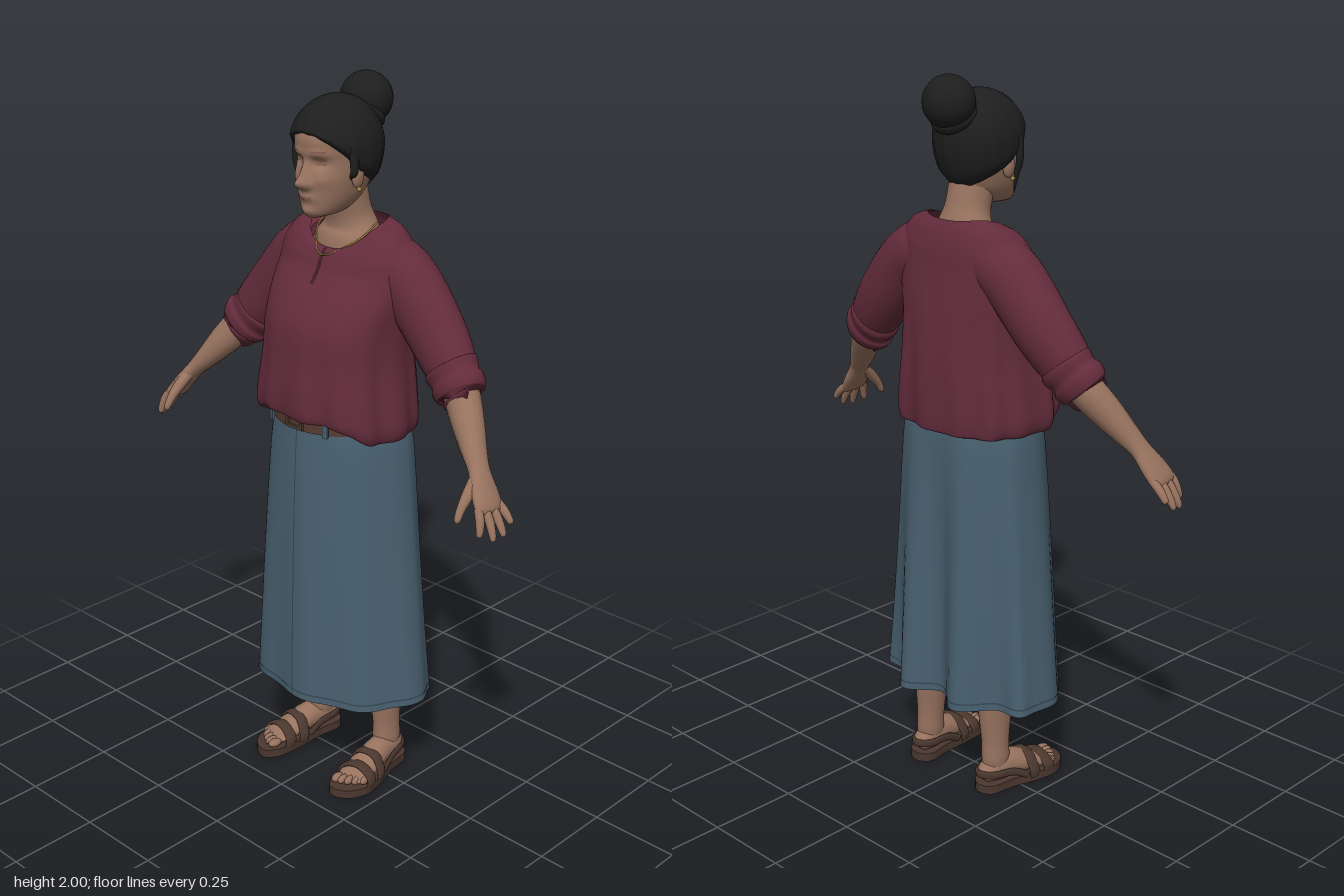
import * as THREE from 'three';

const mat = (name, color, side = THREE.FrontSide) =>
  Object.assign(new THREE.MeshStandardMaterial({ color, side }), { name });
const M = {
  skin: mat('skin', 0x98735f), darkSkin: mat('dark skin', 0x7f5b4c, THREE.DoubleSide),
  hair: mat('hair', 0x1e1e1f, THREE.DoubleSide), blouse: mat('blouse', 0x642c3c, THREE.DoubleSide),
  seam: mat('blouse seam', 0x3f1b26, THREE.DoubleSide), denim: mat('denim', 0x48606f, THREE.DoubleSide),
  darkDenim: mat('dark denim', 0x354856, THREE.DoubleSide), belt: mat('belt leather', 0x553a30, THREE.DoubleSide),
  sandal: mat('sandal leather', 0x4b382f), gold: mat('gold', 0xa98545),
};
const { sin, cos, abs, sign, PI, exp, min, max } = Math;
const smooth = THREE.MathUtils.smoothstep;

function part(parent, name, geometry, material, pos = [0, 0, 0], scale = [1, 1, 1]) {
  const mesh = new THREE.Mesh(geometry, material);
  mesh.name = name;
  mesh.position.set(...pos);
  mesh.scale.set(...scale);
  parent.add(mesh);
  return mesh;
}

// Smooth interpolation through table rows, v from 0 to 1
function key(rows, v) {
  const f = min(max(v, 0), 1) * (rows.length - 1), i = min(Math.floor(f), rows.length - 2), t = f - i;
  const row = k => rows[min(max(k, 0), rows.length - 1)];
  return rows[0].map((_, c) => {
    const [p, q, r, s] = [row(i - 1)[c], row(i)[c], row(i + 1)[c], row(i + 2)[c]];
    return q + 0.5 * t * (r - p + t * (2 * p - 5 * q + 4 * r - s + t * (3 * (q - r) + s - p)));
  });
}

// Skin a rule fn(angle, v) -> [x, y, z]; a full turn is closed without a seam
function surface(fn, nu, nv, a0 = 0, a1 = 2 * PI, v0 = 0, v1 = 1) {
  const closed = a1 - a0 > 6.28, cols = closed ? nu : nu + 1, pos = [], idx = [];
  for (let j = 0; j <= nv; j++)
    for (let i = 0; i < cols; i++) pos.push(...fn(a0 + (a1 - a0) * i / nu, v0 + (v1 - v0) * j / nv));
  for (let j = 0; j < nv; j++)
    for (let i = 0; i < nu; i++) {
      const a = j * cols + i, b = j * cols + (i + 1) % cols;
      idx.push(a, b, b + cols, a, b + cols, a + cols);
    }
  const g = new THREE.BufferGeometry();
  g.setAttribute('position', new THREE.Float32BufferAttribute(pos, 3));
  g.setIndex(idx);
  g.computeVertexNormals();
  return g;
}

// Stacked rings from rows [y, halfWidth, zFront, zBack, tilt, sideLift]
const rings = (rows, p = 1, mid = null) => (a, v) => {
  const [y, hx, zf, zb, tilt = 0, lift = 0] = key(rows, v);
  const s = sin(a), c = cos(a), zm = mid ?? (zf + zb) / 2;
  const q = t => sign(t) * abs(t) ** p;
  return [hx * q(s), y - tilt * c + lift * s * s, zm + (c > 0 ? zf - zm : zm - zb) * q(c)];
};
const offset = (fn, d) => (a, v) => {
  const [x, y, z] = fn(a, v);
  return [x + d * sin(a), y, z + d * cos(a)];
};

// Limb along rows [x, y, z, radiusAcross, radiusAlongRef]
function limb(rows, ref = [0, 0, 1], nu = 16, nv = 24) {
  const at = v => new THREE.Vector3(...key(rows, v).slice(0, 3));
  return surface((a, v) => {
    const r = key(rows, v), t = at(min(1, v + 0.01)).sub(at(max(0, v - 0.01))).normalize();
    const B = new THREE.Vector3(...ref).addScaledVector(t, -t.dot(new THREE.Vector3(...ref))).normalize();
    const N = B.clone().cross(t);
    return at(v).addScaledVector(N, max(r[3], 0.0005) * cos(a))
      .addScaledVector(B, max(r[4], 0.0005) * sin(a)).toArray();
  }, nu, nv);
}
const rope = (pts, r) =>
  new THREE.TubeGeometry(new THREE.CatmullRomCurve3(pts.map(p => new THREE.Vector3(...p))), 30, r, 6);

// Skirt: two deep folds at the back, light waves elsewhere
const skirtBase = rings([[0.28, 0.283, 0.2, -0.17], [0.48, 0.265, 0.196, -0.166], [0.7, 0.245, 0.19, -0.16],
  [0.9, 0.226, 0.183, -0.155], [1.04, 0.21, 0.176, -0.148], [1.115, 0.188, 0.17, -0.135]], 0.95, -0.03);
const skirt = (a, v) => {
  const [x, y, z] = skirtBase(a, v), c = cos(a), k = (1 - v) ** 1.2;
  const wave = 0.007 * k * sin(9 * a + 0.6);
  return [x + wave * sin(a), y, z + wave * c + 0.03 * k * cos(PI * x / 0.1) * max(0, -c)];
};

// Blouse: gathered hem raised at the front, wide neckline
const blouseBase = rings([[1.1, 0.185, 0.17, -0.145, 0, 0], [1.065, 0.212, 0.183, -0.16, 0, 0],
  [1.1, 0.226, 0.193, -0.166, 0, 0], [1.18, 0.217, 0.193, -0.168, 0, 0], [1.27, 0.205, 0.186, -0.166, 0, 0],
  [1.36, 0.205, 0.175, -0.16, 0, 0], [1.43, 0.212, 0.142, -0.152, 0, 0], [1.5, 0.215, 0.092, -0.142, 0, 0],
  [1.545, 0.205, 0.075, -0.136, 0.01, 0.015], [1.58, 0.165, 0.06, -0.124, 0.022, 0.03],
  [1.595, 0.11, 0.05, -0.11, 0.035, 0.032]], 0.83);
const blouse = (a, v) => {
  const [x, y, z] = blouseBase(a, v), c = cos(a), k = smooth(v, 0, 0.1) * (1 - smooth(v, 0.2, 0.65));
  const w = 0.005 * k * (sin(13 * a) + 0.7 * sin(8 * a + 1));
  return [x + w * sin(a), y + 0.075 * smooth(c, 0.35, 0.95) * max(0, 1 - 2.8 * v), z + w * c];
};

// Head: rings with nose, brow, cheeks, lips and eye sockets
const skull = rings([[1.652, 0.012, 0.115, 0.07], [1.665, 0.045, 0.126, 0.0], [1.7, 0.068, 0.132, -0.055],
  [1.75, 0.082, 0.134, -0.08], [1.8, 0.088, 0.13, -0.09], [1.86, 0.09, 0.135, -0.09],
  [1.91, 0.08, 0.105, -0.08], [1.94, 0.02, 0.04, -0.02]], 0.92);
const bump = (x, y, cx, cy, w, h) => exp(-(((x - cx) / w) ** 2) - ((y - cy) / h) ** 2);
const face = (a, v) => {
  const [x, y, z] = skull(a, v), X = abs(x);
  if (cos(a) <= 0) return [x, y, z];
  return [x, y, z + 0.033 * bump(x, y, 0, 1.747, 0.014, 0.017) + 0.018 * bump(x, y, 0, 1.775, 0.011, 0.025)
    + 0.008 * bump(X, y, 0.016, 1.742, 0.009, 0.01) - 0.013 * bump(X, y, 0.036, 1.797, 0.02, 0.014)
    + 0.006 * bump(X, y, 0.035, 1.822, 0.03, 0.01) + 0.006 * bump(X, y, 0.048, 1.755, 0.02, 0.02)
    + 0.007 * bump(x, y, 0, 1.708, 0.025, 0.01) + 0.007 * bump(x, y, 0, 1.672, 0.02, 0.012)];
};

// Hair cap with a swept hairline, reaching down to the nape
const hairCap = (a, v) => {
  const c = cos(a), s = sin(a);
  const edge = c > 0.2 ? 1.77 + 0.098 * ((c - 0.2) / 0.8) ** 0.8 : 1.708 + 0.062 * (c + 1) / 1.2;
  const y = edge + (1.957 - edge) * sin(v * PI / 2);
  let r = y > 1.83 ? Math.sqrt(max(0, 1 - ((y - 1.83) / 0.127) ** 2)) : 1 - 0.3 * ((1.83 - y) / 0.12) ** 2;
  r *= (0.9 + 0.1 * min(1, v / 0.07)) * (1 + 0.01 * sin(16 * a + 5 * v));
  return [0.116 * r * s, y, 0.014 + (c > 0 ? 0.134 : 0.122) * r * c];
};

function buildArm(side) {
  const arm = new THREE.Group();
  arm.name = side > 0 ? 'leftArm' : 'rightArm';
  arm.scale.x = side;
  const sleeve = limb([[0.1, 1.535, -0.045, 0.06, 0.07], [0.14, 1.52, -0.047, 0.083, 0.082], [0.2, 1.48, -0.048, 0.087, 0.08],
    [0.285, 1.385, -0.045, 0.085, 0.074], [0.345, 1.315, -0.035, 0.078, 0.066], [0.385, 1.27, -0.025, 0.066, 0.056]], [0, 0, 1], 28, 30);
  part(arm, 'sleeve', sleeve, M.blouse);
  // Rolled cuff in two soft folds
  part(arm, 'cuff', limb([[0.35, 1.305, -0.034, 0.066, 0.056], [0.36, 1.293, -0.032, 0.08, 0.066], [0.38, 1.272, -0.026, 0.073, 0.06],
    [0.393, 1.258, -0.022, 0.08, 0.064], [0.41, 1.238, -0.016, 0.07, 0.057], [0.405, 1.243, -0.016, 0.045, 0.04]], [0, 0, 1], 28, 30), M.blouse);
  part(arm, 'forearm', limb([[0.36, 1.3, -0.03, 0.045, 0.045], [0.41, 1.24, -0.015, 0.05, 0.046], [0.46, 1.18, 0.015, 0.043, 0.042],
    [0.505, 1.125, 0.042, 0.031, 0.035], [0.535, 1.09, 0.058, 0.023, 0.032], [0.565, 1.05, 0.072, 0.02, 0.043],
    [0.592, 1.012, 0.085, 0.016, 0.046], [0.6, 1.0, 0.088, 0.004, 0.03]]), M.skin);
  const tips = [[0.606, 0.953, 0.138], [0.63, 0.94, 0.11], [0.637, 0.945, 0.077], [0.635, 0.97, 0.046]];
  tips.forEach(([x, y, z], i) => {
    const bx = 0.585, by = 1.02, bz = 0.12 - i * 0.024;
    const row = (t, r) => [bx + (x - bx) * t + 0.006 * sin(t * PI), by + (y - by) * t, bz + (z - bz) * t, r, r];
    part(arm, 'finger', limb([row(0, 0.011), row(0.35, 0.012), row(0.75, 0.01), row(0.95, 0.007), row(1, 0.001)], [0, 0, 1], 10, 12), M.skin);
  });
  part(arm, 'thumb', limb([[0.54, 1.08, 0.075, 0.016, 0.016], [0.548, 1.045, 0.115, 0.016, 0.016], [0.55, 1.015, 0.143, 0.012, 0.012],
    [0.552, 0.99, 0.158, 0.009, 0.009], [0.553, 0.982, 0.162, 0.001, 0.001]], [1, 0, 0], 10, 14), M.skin);
  return arm;
}

function buildLeg(side) {
  const leg = new THREE.Group();
  leg.name = side > 0 ? 'leftLeg' : 'rightLeg';
  leg.scale.x = side;
  part(leg, 'shin', limb([[0.115, 0.62, -0.03, 0.07, 0.075], [0.12, 0.42, -0.045, 0.054, 0.062], [0.127, 0.27, -0.048, 0.044, 0.056],
    [0.131, 0.15, -0.05, 0.036, 0.044], [0.133, 0.09, -0.05, 0.036, 0.044], [0.133, 0.05, -0.045, 0.03, 0.04]]), M.skin);
  const foot = new THREE.Group();
  foot.name = 'foot';
  foot.position.set(0.135, 0, -0.05);
  foot.rotation.y = 0.14;
  leg.add(foot);
  part(foot, 'footBody', limb([[0, 0.045, -0.056, 0.004, 0.004], [0, 0.05, -0.045, 0.026, 0.026], [0, 0.06, 0, 0.042, 0.036],
    [0, 0.06, 0.055, 0.04, 0.039], [0, 0.048, 0.115, 0.026, 0.046], [0, 0.039, 0.165, 0.015, 0.047], [0, 0.036, 0.19, 0.006, 0.035]], [1, 0, 0], 18, 24), M.skin);
  for (let i = 0; i < 5; i++)
    part(foot, 'toe', new THREE.SphereGeometry(1, 12, 8), M.skin, [-0.034 + i * 0.018, 0.037, 0.198 - i * i * 0.0022],
      [i ? 0.01 : 0.014, 0.012, 0.022]);
  // Sandal: sole, two front straps, instep strap and heel band
  const outline = [[0, -0.064], [0.036, -0.045], [0.04, 0.03], [0.054, 0.12], [0.052, 0.18], [0.02, 0.225],
    [-0.03, 0.236], [-0.054, 0.2], [-0.054, 0.13], [-0.04, 0.03], [-0.036, -0.045]];
  const curve = new THREE.CatmullRomCurve3(outline.map(p => new THREE.Vector3(...p, 0)), true);
  const sole = new THREE.ExtrudeGeometry(new THREE.Shape(curve.getPoints(44).map(p => new THREE.Vector2(p.x, p.y))),
    { depth: 0.025, bevelEnabled: false });
  part(foot, 'sole', sole.rotateX(PI / 2).translate(0, 0.025, 0), M.sandal);
  for (const [z, w, h, r] of [[0.155, 0.052, 0.066, 0.018], [0.105, 0.051, 0.084, 0.017]])
    part(foot, 'strap', limb([[-w, 0.015, z, 0.006, r], [-w, 0.04, z - 0.004, 0.006, r], [-w * 0.6, h - 0.008, z - 0.008, 0.006, r],
      [0, h, z - 0.01, 0.006, r], [w * 0.6, h - 0.008, z - 0.008, 0.006, r], [w, 0.04, z - 0.004, 0.006, r], [w, 0.015, z, 0.006, r]]), M.sandal);
  part(foot, 'heelBand', limb([[-0.046, 0.025, 0.08, 0.005, 0.01], [-0.042, 0.05, 0.03, 0.005, 0.012], [-0.033, 0.055, -0.035, 0.005, 0.012],
    [0, 0.057, -0.062, 0.005, 0.012], [0.033, 0.055, -0.035, 0.005, 0.012], [0.042, 0.05, 0.03, 0.005, 0.012], [0.046, 0.025, 0.08, 0.005, 0.01]], [0, 1, 0]), M.sandal);
  return leg;
}

export function createModel() {
  const model = new THREE.Group();
  model.name = 'standingWoman';

  part(model, 'skirt', surface(skirt, 96, 40), M.denim);
  const stitch = offset(skirt, 0.002);
  part(model, 'frontSeam', surface(stitch, 1, 30, 0.0, 0.015, 0, 0.97), M.darkDenim);
  part(model, 'hemStitch', surface(stitch, 96, 1, 0, 2 * PI, 0.03, 0.036), M.darkDenim);
  for (const s of [-1, 1]) {
    // Slanted pocket openings and belt loops
    const pocket = (t, v) => stitch(s * (0.6 + 0.55 * t + 0.03 * v), 0.97 - 0.13 * t ** 2 + 0.012 * v);
    part(model, 'pocket', surface(pocket, 12, 1, 0, 1), M.darkDenim);
    part(model, 'beltLoop', new THREE.BoxGeometry(0.014, 0.06, 0.008), M.denim, [s * 0.1, 1.113, 0.166]).rotation.y = s * 0.3;
  }

  // Belt and buckle
  part(model, 'belt', surface(rings([[1.085, 0.196, 0.178, -0.14], [1.15, 0.188, 0.176, -0.135]], 0.95, -0.03), 64, 4), M.belt);
  const buckle = new THREE.Shape([[-0.03, -0.024], [0.03, -0.024], [0.03, 0.024], [-0.03, 0.024]].map(p => new THREE.Vector2(...p)));
  buckle.holes.push(new THREE.Path([[-0.021, -0.015], [-0.021, 0.015], [0.021, 0.015], [0.021, -0.015]].map(p => new THREE.Vector2(...p))));
  part(model, 'buckle', new THREE.ExtrudeGeometry(buckle, { depth: 0.007, bevelEnabled: false }), M.sandal, [0, 1.113, 0.178]);

  part(model, 'blouse', surface(blouse, 96, 60), M.blouse);
  part(model, 'placket', surface(offset(blouse, 0.002), 1, 20, -0.02, 0.01, 0.66, 1), M.seam);

  // Neck, necklace, head
  part(model, 'neck', limb([[0, 1.5, -0.035, 0.12, 0.08], [0, 1.56, -0.03, 0.112, 0.078], [0, 1.605, -0.033, 0.085, 0.066],
    [0, 1.645, -0.026, 0.064, 0.06], [0, 1.7, -0.012, 0.06, 0.062], [0, 1.76, 0, 0.06, 0.06]], [0, 0, 1], 32), M.skin);
  part(model, 'necklace', rope([[-0.088, 1.625, -0.04], [-0.085, 1.6, 0.0], [-0.055, 1.57, 0.04], [0, 1.545, 0.075],
    [0.055, 1.57, 0.04], [0.085, 1.6, 0.0], [0.088, 1.625, -0.04]], 0.0025), M.gold);
  part(model, 'head', surface(face, 72, 72), M.skin);
  const paint = offset(face, 0.0015);
  part(model, 'lips', surface(paint, 12, 3, -0.27, 0.27, 0.3, 0.325), M.darkSkin);
  for (const s of [-1, 1]) {
    const m = s * 0.42;
    part(model, 'eyelid', surface(paint, 8, 2, m - 0.16, m + 0.16, 0.553, 0.565), M.darkSkin);
    part(model, 'eyebrow', surface(paint, 8, 2, m - 0.22, m + 0.22, 0.633, 0.645), M.darkSkin);
    part(model, 'ear', new THREE.SphereGeometry(1, 16, 12), M.skin, [s * 0.09, 1.762, 0.035], [0.012, 0.032, 0.02]);
    part(model, 'earring', new THREE.SphereGeometry(0.006, 10, 8), M.gold, [s * 0.1, 1.73, 0.04]);
  }

  // Hair, loose strands and bun
  part(model, 'hair', surface(hairCap, 96, 40), M.hair);
  for (const [s, end] of [[-1, 1.69], [1, 1.755]])
    part(model, 'looseStrand', limb([[s * 0.1, 1.84, 0.06, 0.012, 0.016], [s * 0.104, 1.78, 0.062, 0.009, 0.012],
      [s * 0.094, (1.78 + end) / 2, 0.06, 0.006, 0.008], [s * 0.088, end, 0.058, 0.001, 0.001]], [0, 0, 1], 10, 14), M.hair);
  part(model, 'bun', new THREE.SphereGeometry(0.07, 32, 24), M.hair, [-0.003, 1.93, -0.095], [1.02, 1, 0.96]);
  part(model, 'bunWrap', new THREE.TorusGeometry(0.045, 0.022, 12, 32), M.hair, [0, 1.895, -0.07]).rotation.x = PI / 2 - 0.6;

  for (const side of [1, -1]) model.add(buildArm(side), buildLeg(side));
  return model;
}
